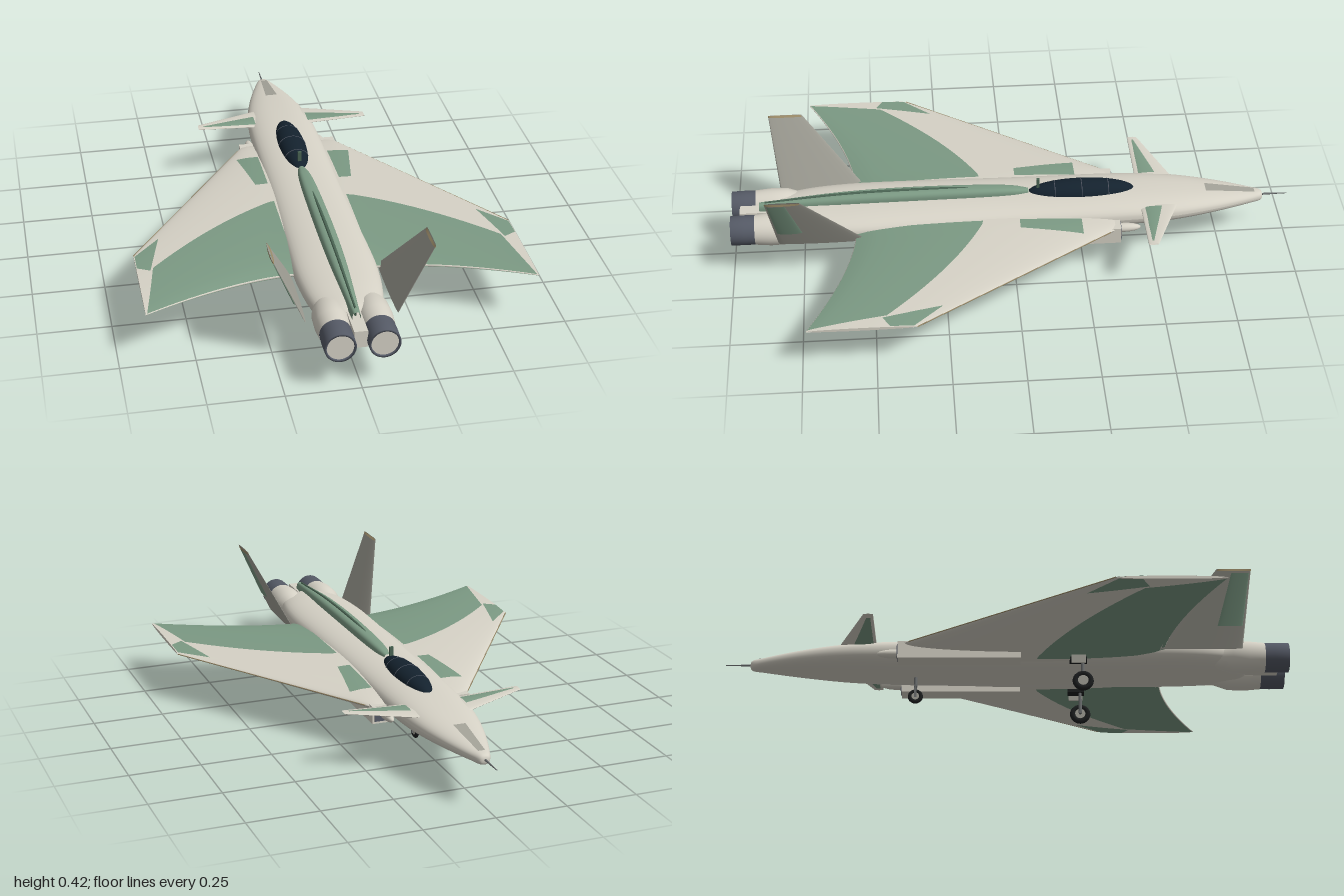
import * as THREE from 'three';

const { lerp } = THREE.MathUtils;
const mat = (color) => new THREE.MeshStandardMaterial({ color, side: THREE.DoubleSide });
const cream = mat(0xd6d2c6), green = mat(0x7c9a84), darkGreen = mat(0x4a6453), grey = mat(0xa3a298),
  slate = mat(0x555a66), glass = mat(0x14222e), black = mat(0x1d1f20), steel = mat(0x6c6f70), tan = mat(0x9a8a68);

function add(parent, name, geometry, material, x = 0, y = 0, z = 0) {
  const m = new THREE.Mesh(geometry, material);
  m.name = name;
  m.position.set(x, y, z);
  parent.add(m);
  return m;
}

// Smooth surface over a grid: f(u, v) gives a point
function surface(nu, nv, f) {
  const pos = [], idx = [], w = nv + 1;
  for (let i = 0; i <= nu; i++) for (let j = 0; j <= nv; j++) pos.push(...f(i / nu, j / nv));
  for (let i = 0; i < nu; i++) for (let j = 0; j < nv; j++) {
    const a = i * w + j;
    idx.push(a, a + 1, a + w, a + 1, a + w + 1, a + w);
  }
  const g = new THREE.BufferGeometry();
  g.setAttribute('position', new THREE.Float32BufferAttribute(pos, 3));
  g.setIndex(idx);
  g.computeVertexNormals();
  return g;
}

// Body along z through stations [z, half width, top, bottom]; n squares the section
function hull(stations, n = 2.4) {
  const curve = (k) => new THREE.CatmullRomCurve3(stations.map((s) => new THREE.Vector3(s[0], s[k], s[3])));
  const width = curve(1), top = curve(2);
  const pow = (c) => Math.sign(c) * Math.abs(c) ** (2 / n);
  return surface(60, 40, (u, v) => {
    const p = width.getPoint(u), q = top.getPoint(u), a = v * Math.PI * 2;
    return [p.y * pow(Math.cos(a)), (q.y + q.z) / 2 + (q.y - q.z) / 2 * pow(Math.sin(a)), q.x];
  });
}

// Thin tapered blade along x: root and tip are [x, y, z front, z back]
const blade = (r, t, thick) => surface(6, 24, (u, v) => {
  const a = v * Math.PI * 2, c = (1 - Math.cos(a)) / 2;
  return [lerp(r[0], t[0], u), lerp(r[1], t[1], u) + thick * (1 - u * 0.6) * Math.sin(a),
    lerp(lerp(r[2], r[3], c), lerp(t[2], t[3], c), u)];
});

// Main wing outline and section
const span = (x) => Math.max(0, (x - 0.14) / 0.515);
const lead = (x) => Math.max(-0.37, 0.36 + (x - 0.655) * 1.5);
const trail = (x) => 0.56 + 0.17 * span(x) ** 1.6;
const hinge = (x) => 0.11 + 0.24 * span(x) + 0.17 * span(x) ** 2;
function wingPoint(x, z, side, lift = 0) {
  const s = span(x), c = THREE.MathUtils.clamp((z - lead(x)) / (trail(x) - lead(x)), 0, 1);
  const shape = Math.min(1, 1.9 * Math.sqrt(c * (1 - c)));
  const mid = lerp(0.172, 0.185, s);
  const half = side > 0 ? lerp(0.033, 0.006, s) : lerp(0.04, 0.006, s);
  return [x, mid + side * (half * shape + lift), z];
}
// Painted panel lying on the wing; corners are [x, z]
function wingQuad(side, a, b, c, d) {
  return surface(8, 8, (u, v) => wingPoint(
    lerp(lerp(a[0], b[0], u), lerp(d[0], c[0], u), v),
    lerp(lerp(a[1], b[1], u), lerp(d[1], c[1], u), v), side, 0.0015));
}

function wheel(parent, name, radius, width, x, y, z) {
  const g = new THREE.Group();
  g.name = name;
  add(g, 'tyre', new THREE.TorusGeometry(radius * 0.72, radius * 0.28, 10, 28), black).scale.z = width / radius / 0.56;
  add(g, 'hub', new THREE.CylinderGeometry(radius * 0.5, radius * 0.5, width * 0.8, 20), grey).rotation.x = Math.PI / 2;
  g.rotation.y = Math.PI / 2;
  g.position.set(x, y, z);
  parent.add(g);
}

function createSide() {
  const side = new THREE.Group();

  // Wing with green control area and painted corners
  add(side, 'wing', surface(24, 48, (u, v) => {
    const x = lerp(0.08, 0.655, u), a = v * Math.PI * 2;
    return wingPoint(x, lerp(lead(x), trail(x), (1 - Math.cos(a)) / 2), Math.sin(a) >= 0 ? 1 : -1);
  }), cream);
  add(side, 'wingTipEdge', surface(1, 12, (u, v) => wingPoint(0.655, lerp(0.36, 0.73, v), u * 2 - 1)), cream);
  for (const s of [1, -1]) {
    add(side, 'wingRearPanel', surface(24, 12, (u, v) => {
      const x = lerp(0.13, 0.60 + 0.05 * v, u);
      return wingPoint(x, lerp(hinge(x), trail(x) - 0.003, v), s, 0.0015);
    }), green);
    add(side, 'wingTipPanel', wingQuad(s, [0.56, 0.27], [0.652, 0.37], [0.653, 0.45], [0.61, 0.475]), green);
  }
  add(side, 'wingRootPanel', wingQuad(1, [0.13, -0.24], [0.21, -0.24], [0.175, -0.02], [0.13, -0.02]), green);
  add(side, 'leadingEdgeStrip', new THREE.TubeGeometry(new THREE.LineCurve3(
    new THREE.Vector3(...wingPoint(0.19, lead(0.19), 1)), new THREE.Vector3(...wingPoint(0.655, 0.36, 1))), 8, 0.002, 6), tan);

  // Canard
  add(side, 'canard', blade([0.09, 0.205, -0.585, -0.455], [0.318, 0.215, -0.49, -0.455], 0.007), cream);
  add(side, 'canardPanel', blade([0.1, 0.205, -0.55, -0.462], [0.3, 0.214, -0.485, -0.462], 0.0085), green);

  // Canted tail fin, rear part painted
  const fin = new THREE.Group();
  fin.name = 'tailFin';
  add(fin, 'finBlade', blade([-0.03, 0, 0.52, 0.83], [0.25, 0, 0.74, 0.86], 0.006), grey);
  add(fin, 'finPanel', blade([0.05, -0.003, 0.74, 0.83], [0.235, -0.002, 0.79, 0.853], 0.006), green);
  add(fin, 'finCap', blade([0.242, 0, 0.738, 0.86], [0.25, 0, 0.742, 0.86], 0.0062), tan);
  fin.position.set(0.165, 0.19, 0);
  fin.rotation.z = 1.17;
  side.add(fin);

  // Engine sleeve, nozzle and closed exhaust
  const profile = [[0.03, 0.72], [0.056, 0.8], [0.058, 0.86], [0.053, 0.915]].map((p) => new THREE.Vector2(...p));
  const sleeve = add(side, 'engineSleeve', new THREE.LatheGeometry(profile, 36), cream, 0.072, 0.165, 0);
  sleeve.rotation.x = Math.PI / 2;
  const ring = [[0.052, 0.912], [0.053, 0.95], [0.052, 1.0], [0.045, 1.0], [0.044, 0.985]].map((p) => new THREE.Vector2(...p));
  const nozzle = add(side, 'nozzle', new THREE.LatheGeometry(ring, 36), slate, 0.072, 0.165, 0);
  nozzle.rotation.x = Math.PI / 2;
  add(side, 'exhaustDisc', new THREE.CircleGeometry(0.0455, 36), cream, 0.072, 0.165, 0.995);

  // Air intake with a dark mouth and a shock cone
  add(side, 'intakeDuct', new THREE.BoxGeometry(0.065, 0.062, 0.43), cream, 0.147, 0.148, -0.162);
  add(side, 'intakeMouth', new THREE.BoxGeometry(0.05, 0.046, 0.004), slate, 0.147, 0.148, -0.378);
  add(side, 'intakeCone', new THREE.SphereGeometry(1, 20, 14), cream, 0.135, 0.15, -0.39).scale.set(0.017, 0.016, 0.062);

  // Main landing gear
  wheel(side, 'mainWheel', 0.037, 0.02, 0.148, 0.042, 0.27);
  add(side, 'mainStrut', new THREE.CylinderGeometry(0.006, 0.006, 0.1, 10), steel, 0.133, 0.09, 0.27);
  add(side, 'mainAxle', new THREE.CylinderGeometry(0.005, 0.005, 0.03, 10), steel, 0.14, 0.042, 0.27).rotation.z = Math.PI / 2;
  add(side, 'gearMount', new THREE.BoxGeometry(0.035, 0.012, 0.06), black, 0.14, 0.124, 0.255);
  add(side, 'gearDoor', new THREE.BoxGeometry(0.003, 0.03, 0.05), grey, 0.165, 0.118, 0.255);
  return side;
}

export function createModel() {
  const model = new THREE.Group();
  model.name = 'jetAircraft';

  add(model, 'fuselage', hull([[-0.912, 0.001, 0.166, 0.164], [-0.905, 0.018, 0.182, 0.15], [-0.86, 0.038, 0.19, 0.146],
    [-0.72, 0.083, 0.208, 0.137], [-0.57, 0.115, 0.222, 0.128], [-0.4, 0.127, 0.23, 0.121], [0, 0.132, 0.23, 0.117],
    [0.4, 0.14, 0.23, 0.117], [0.6, 0.14, 0.226, 0.119], [0.75, 0.122, 0.22, 0.122], [0.84, 0.09, 0.208, 0.13],
    [0.87, 0.001, 0.18, 0.15]]), cream);
  add(model, 'noseProbe', new THREE.CylinderGeometry(0.004, 0.0015, 0.1, 8), steel, 0, 0.168, -0.95).rotation.x = Math.PI / 2;
  add(model, 'nosePanel', surface(4, 12, (u, v) => [lerp(-1, 1, u) * lerp(0.012, 0.022, v),
    lerp(0.189, 0.2125, v), lerp(-0.88, -0.7, v)]), grey);

  // Canopy with frames
  const canopy = new THREE.Group();
  canopy.name = 'canopy';
  add(canopy, 'canopyGlass', new THREE.SphereGeometry(1, 36, 24), glass).scale.set(0.05, 0.042, 0.192);
  for (const t of [-0.5, 0, 0.5]) {
    const r = Math.sqrt(1 - t * t);
    add(canopy, 'canopyFrame', new THREE.TorusGeometry(1, 0.03, 6, 32, Math.PI), slate, 0, 0, t * 0.192)
      .scale.set(0.05 * r, 0.042 * r, 0.05);
  }
  canopy.position.set(0, 0.222, -0.25);
  model.add(canopy);
  add(model, 'mast', new THREE.BoxGeometry(0.014, 0.06, 0.01), darkGreen, 0, 0.25, -0.095);

  // Spine
  add(model, 'spine', hull([[-0.06, 0.012, 0.24, 0.2], [0.0, 0.022, 0.25, 0.2], [0.3, 0.03, 0.258, 0.2],
    [0.6, 0.028, 0.251, 0.19], [0.9, 0.014, 0.226, 0.17]], 3), green);
  add(model, 'spineRidge', hull([[0.1, 0.003, 0.254, 0.22], [0.3, 0.007, 0.262, 0.22], [0.6, 0.007, 0.255, 0.21],
    [0.88, 0.004, 0.232, 0.2]], 3), darkGreen);
  add(model, 'tailFairing', new THREE.BoxGeometry(0.045, 0.06, 0.16), cream, 0, 0.17, 0.89);

  // Nose landing gear
  wheel(model, 'noseWheel', 0.027, 0.014, 0, 0.047, -0.32);
  for (const x of [-0.011, 0.011]) add(model, 'noseFork', new THREE.BoxGeometry(0.003, 0.045, 0.008), steel, x, 0.063, -0.32);
  add(model, 'noseStrut', new THREE.CylinderGeometry(0.006, 0.006, 0.05, 10), steel, 0, 0.107, -0.32);
  add(model, 'noseYoke', new THREE.BoxGeometry(0.025, 0.006, 0.01), steel, 0, 0.085, -0.32);

  // Mirrored halves
  for (const s of [1, -1]) {
    const half = createSide();
    half.name = s > 0 ? 'leftSide' : 'rightSide';
    half.scale.x = s;
    model.add(half);
  }
  return model;
}
